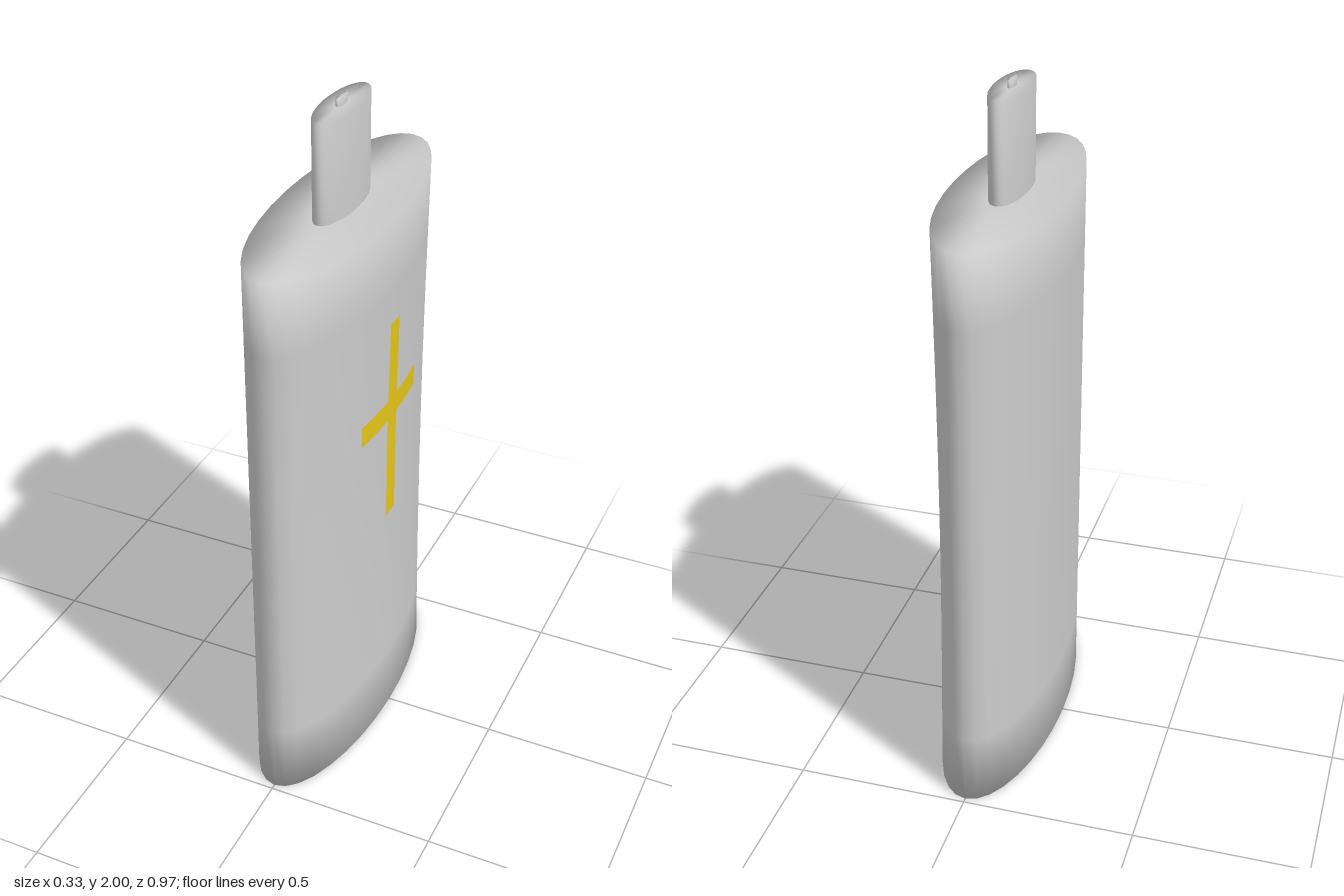
import * as THREE from 'three';
import { mergeVertices } from 'three/addons/utils/BufferGeometryUtils.js';

const RX = 0.165, RZ = 0.485, BODY_H = 1.7;

// The +x face is slightly hollowed between the base and the shoulder.
const hollow = (y) => 1 - 0.075 * Math.sin(Math.PI * Math.min(Math.max(y / BODY_H, 0), 1));

// Smooth oval solid from a [radius, height] profile.
function oval(name, profile, rx, rz, material, rule) {
  const points = profile.map(([r, y]) => new THREE.Vector2(r, y));
  let geo = new THREE.LatheGeometry(points, 32);
  geo.deleteAttribute('uv');
  geo.deleteAttribute('normal');
  geo.scale(rx, 1, rz);
  if (rule) rule(geo.attributes.position);
  geo = mergeVertices(geo, 1e-4);
  geo.computeVertexNormals();
  const mesh = new THREE.Mesh(geo, material);
  mesh.name = name;
  return mesh;
}

// Thin strip laid on the curved +x face.
function strip(name, width, y0, y1, material) {
  const geo = new THREE.PlaneGeometry(width, y1 - y0, 12, 10);
  geo.rotateY(Math.PI / 2);
  geo.translate(0, (y0 + y1) / 2, 0);
  const p = geo.attributes.position;
  for (let i = 0; i < p.count; i++) {
    const z = p.getZ(i) / RZ;
    p.setX(i, RX * Math.sqrt(1 - z * z) * hollow(p.getY(i)) + 0.002);
  }
  geo.computeVertexNormals();
  const mesh = new THREE.Mesh(geo, material);
  mesh.name = name;
  return mesh;
}

export function createModel() {
  const model = new THREE.Group();
  model.name = 'flask';
  const grey = new THREE.MeshStandardMaterial({ color: 0xcccccc, side: THREE.DoubleSide });
  const yellow = new THREE.MeshStandardMaterial({ color: 0xe6c619, side: THREE.DoubleSide });

  // Flat oval body with its base and shoulder
  const wall = [];
  for (let i = 0; i <= 8; i++) wall.push([1, (BODY_H * i) / 8]);
  model.add(oval('body', [[0, 0], ...wall, [0.3, BODY_H]], RX, RZ, grey, (p) => {
    for (let i = 0; i < p.count; i++) {
      if (p.getX(i) > 0) p.setX(i, p.getX(i) * hollow(p.getY(i)));
    }
  }));

  // Neck and the small stud on top
  model.add(oval('neck', [[1, BODY_H], [1, 1.98], [0.2, 1.98]], 0.05, 0.15, grey));
  model.add(oval('stud', [[1, 1.98], [1, 2], [0, 2]], 0.01, 0.03, grey));

  // Yellow cross on the +x face
  const cross = new THREE.Group();
  cross.name = 'cross';
  cross.add(strip('crossUpright', 0.06, 0.74, 1.38, yellow));
  cross.add(strip('crossBar', 0.37, 1.07, 1.135, yellow));
  model.add(cross);
  return model;
}
